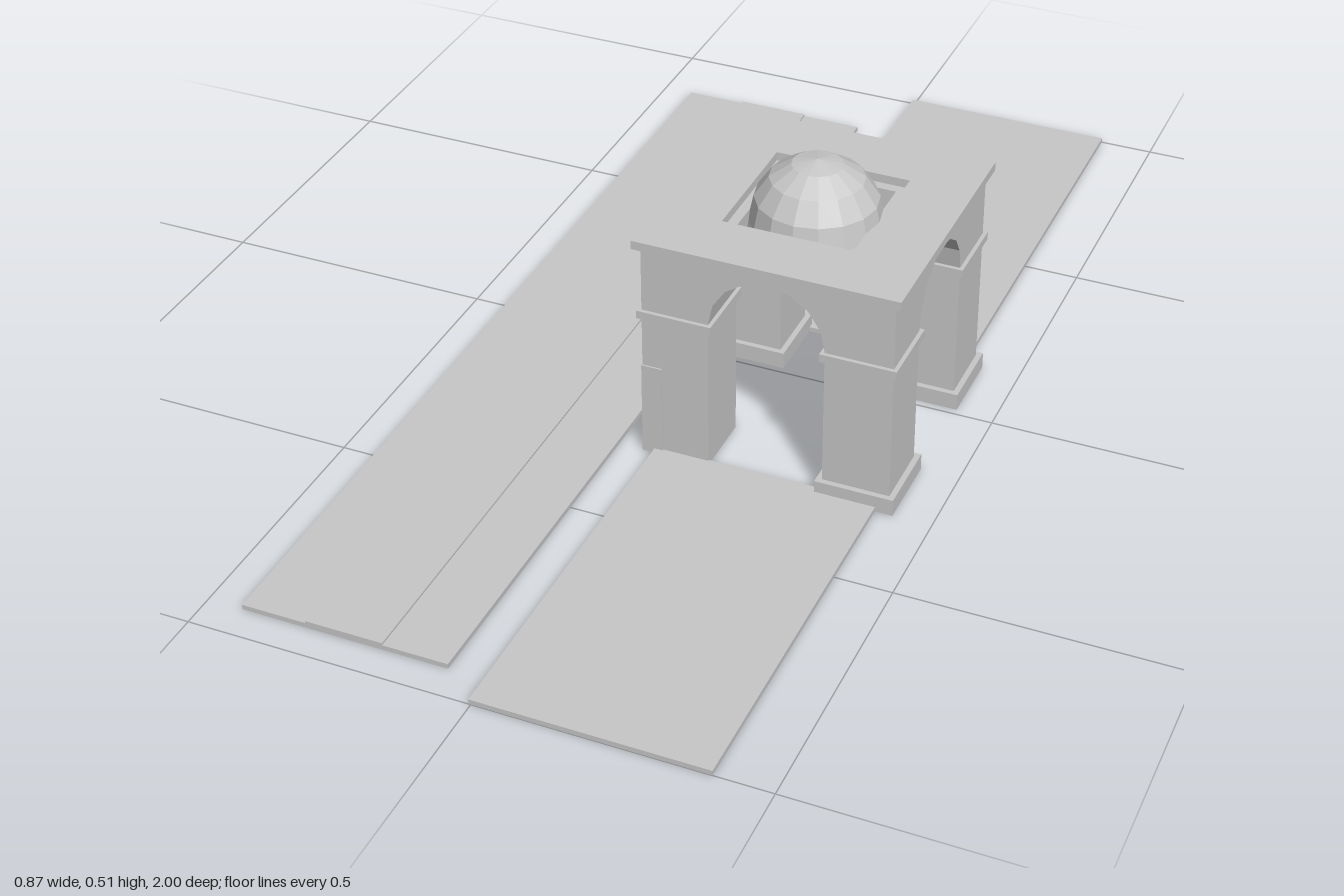
import * as THREE from 'three';

export function createModel() {
  const model = new THREE.Group();
  model.name = 'domedGateway';
  const stone = new THREE.MeshStandardMaterial({ color: 0xc8c8c8, flatShading: true, side: THREE.DoubleSide });
  stone.name = 'paleGreyStone';

  const add = (parent, name, geometry) => {
    const mesh = new THREE.Mesh(geometry, stone);
    mesh.name = name;
    parent.add(mesh);
    return mesh;
  };
  // Box given by its limits
  const box = (parent, name, x0, x1, y0, y1, z0, z1) => {
    const g = new THREE.BoxGeometry(x1 - x0, y1 - y0, z1 - z0);
    g.translate((x0 + x1) / 2, (y0 + y1) / 2, (z0 + z1) / 2);
    return add(parent, name, g);
  };

  // Road, interrupted under the gateway
  box(model, 'roadFront', -0.004, 0.4, 0, 0.009, 0.3, 1);
  box(model, 'roadBack', -0.004, 0.4, 0, 0.009, -1, -0.14);

  // Side path with a raised middle band
  box(model, 'sidePath', -0.437, -0.07, 0, 0.009, -0.85, 0.94);
  box(model, 'sidePathBand', -0.322, -0.185, 0.009, 0.013, -0.85, 0.94);

  // Gateway, built around its own centre
  const gate = new THREE.Group();
  gate.name = 'gateway';
  gate.position.set(0.198, 0, 0.08);
  model.add(gate);
  const outer = 0.223, inner = 0.103, spring = 0.287, wallTop = 0.41;
  const mid = (outer + inner) / 2, half = (outer - inner) / 2;

  const block = (name, cx, cz, h, y0, y1) => box(gate, name, cx - h, cx + h, y0, y1, cz - h, cz + h);
  for (const sx of [-1, 1]) for (const sz of [-1, 1]) {
    const cx = sx * mid, cz = sz * mid;
    block('pierShaft', cx, cz, half, 0, spring);
    block('pierImpost', cx, cz, half + 0.007, 0.272, spring);
    // One pier has a narrow panel instead of a plinth
    if (sx < 0 && sz > 0) {
      box(gate, 'pierPanel', -outer - 0.001, -outer + 0.036, 0, 0.176, inner - 0.003, outer + 0.003);
    } else {
      block('pierPlinth', cx, cz, half + 0.01, 0, 0.031);
    }
  }

  // Arched walls: the z pair runs full width, the x pair fits between
  const archWall = (w) => {
    const s = new THREE.Shape();
    s.moveTo(-w, wallTop);
    if (w > inner) s.lineTo(-w, spring);
    for (let i = 0; i <= 8; i++) {
      const a = Math.PI * (1 - i / 8);
      s.lineTo(inner * Math.cos(a), spring + inner * Math.sin(a));
    }
    if (w > inner) s.lineTo(w, spring);
    s.lineTo(w, wallTop);
    const g = new THREE.ExtrudeGeometry(s, { depth: outer - inner, bevelEnabled: false });
    return g.translate(0, 0, inner);
  };
  for (let i = 0; i < 4; i++) {
    add(gate, 'archWall', archWall(i % 2 ? inner : outer)).rotation.y = i * Math.PI / 2;
  }

  // Flat cornice with a square opening
  const square = (Type, h) => new Type([[-h, -h], [h, -h], [h, h], [-h, h]].map(p => new THREE.Vector2(...p)));
  const slab = square(THREE.Shape, 0.235);
  slab.holes.push(square(THREE.Path, 0.121));
  const cornice = new THREE.ExtrudeGeometry(slab, { depth: 0.016, bevelEnabled: false });
  cornice.rotateX(-Math.PI / 2).translate(0, wallTop, 0);
  add(gate, 'cornice', cornice);

  // Dome
  const R = 0.115, domeY = 0.392;
  const dome = new THREE.SphereGeometry(R, 16, 4, 0, Math.PI * 2, 0, Math.PI / 2);
  add(gate, 'dome', dome.translate(0, domeY, 0));

  // Pendentives from the pier corners up to the dome ring
  const ring = (deg) => {
    const a = THREE.MathUtils.degToRad(deg);
    return [R * Math.cos(a), domeY, R * Math.sin(a)];
  };
  for (let i = 0; i < 4; i++) {
    const corner = [inner, spring, inner];
    const g = new THREE.BufferGeometry();
    g.setAttribute('position', new THREE.Float32BufferAttribute(
      [corner, ring(22.5), ring(45), corner, ring(45), ring(67.5)].flat(), 3));
    g.computeVertexNormals();
    add(gate, 'pendentive', g).rotation.y = i * Math.PI / 2;
  }
  return model;
}
